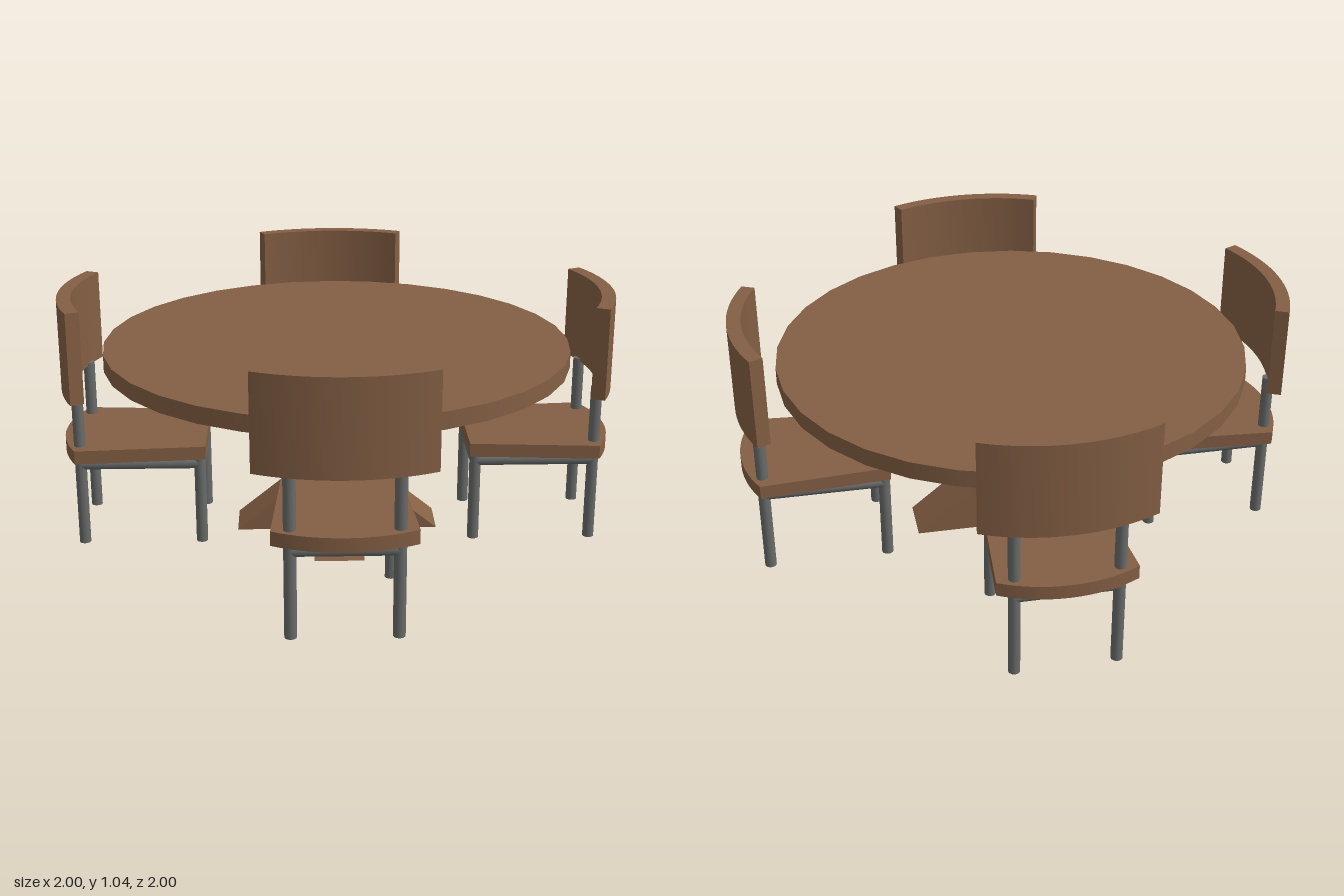
import * as THREE from 'three';
import { toCreasedNormals } from 'three/addons/utils/BufferGeometryUtils.js';

const wood = new THREE.MeshStandardMaterial({ color: 0x845f44 });
wood.name = 'brown wood';
const metal = new THREE.MeshStandardMaterial({ color: 0x696b6b });
metal.name = 'grey metal';

function addMesh(parent, name, geometry, material) {
  const mesh = new THREE.Mesh(geometry, material);
  mesh.name = name;
  parent.add(mesh);
  return mesh;
}

// Horizontal slab from a plan outline (shape x, y become x, z)
function slab(shape, bottom, top) {
  const g = new THREE.ExtrudeGeometry(shape, { depth: top - bottom, bevelEnabled: false, curveSegments: 8 });
  g.rotateX(Math.PI / 2);
  g.translate(0, top, 0);
  return toCreasedNormals(g, 0.5);
}

// Round bar between two points
function addBar(parent, name, a, b, radius = 0.024) {
  const dir = b.clone().sub(a);
  const bar = addMesh(parent, name, new THREE.CylinderGeometry(radius, radius, dir.length(), 12), metal);
  bar.position.copy(a).add(b).multiplyScalar(0.5);
  bar.quaternion.setFromUnitVectors(new THREE.Vector3(0, 1, 0), dir.normalize());
}

// Chair with its back towards local +z, measured from the table centre
function createChair() {
  const chair = new THREE.Group();
  chair.name = 'chair';

  // Seat: tapered to the front, bowed at the back
  const seat = new THREE.Shape();
  const seatR = 0.586, seatC = 0.566;
  const s = Math.asin(0.272 / seatR);
  seat.moveTo(-0.232, 0.55);
  seat.lineTo(0.232, 0.55);
  seat.absarc(0, seatC, seatR, Math.PI / 2 - s, Math.PI / 2 + s, false);
  seat.closePath();
  addMesh(chair, 'seat', slab(seat, 0.378, 0.435), wood);

  // Curved backrest
  const back = new THREE.Shape();
  const mid = Math.PI / 2, half = THREE.MathUtils.degToRad(25);
  back.absarc(0, 0.35, 0.803, mid - half, mid + half, false);
  back.absarc(0, 0.35, 0.745, mid + half, mid - half, true);
  back.closePath();
  addMesh(chair, 'backrest', slab(back, 0.657, 1.04), wood);

  // Legs, the rear pair rising to the backrest
  const x = 0.2015, front = 0.576, rear = 1.071;
  const V = (px, py, pz) => new THREE.Vector3(px, py, pz);
  for (const side of [-x, x]) {
    addBar(chair, 'frontLeg', V(side, 0, front), V(side, 0.378, front));
    addBar(chair, 'rearLeg', V(side, 0, rear), V(side, 0.67, rear));
    addBar(chair, 'sideRail', V(side, 0.353, front), V(side, 0.353, rear));
  }
  // Cross rails under the seat
  for (const z of [front, rear]) {
    addBar(chair, 'crossRail', V(-x, 0.353, z), V(x, 0.353, z));
  }
  return chair;
}

export function createModel() {
  const model = new THREE.Group();
  model.name = 'diningSet';

  // Round table top
  const top = addMesh(model, 'tableTop', new THREE.CylinderGeometry(0.975, 0.975, 0.07, 32), wood);
  top.position.y = 0.785;

  // Pedestal: two crossed slabs with flared foot and head
  const half = [[0.428, 0], [0.18, 0.2], [0.18, 0.62], [0.3, 0.752]];
  const outline = [...half, ...half.map(([x, y]) => [-x, y]).reverse()];
  const profile = new THREE.Shape(outline.map(([x, y]) => new THREE.Vector2(x, y)));
  const slabGeometry = new THREE.ExtrudeGeometry(profile, { depth: 0.205, bevelEnabled: false });
  slabGeometry.translate(0, 0, -0.1025);
  for (const turn of [1, -1]) {
    addMesh(model, 'pedestal', slabGeometry, wood).rotation.y = turn * Math.PI / 4;
  }

  // Four chairs on the diagonals
  for (let i = 0; i < 4; i++) {
    const chair = createChair();
    chair.rotation.y = Math.PI / 4 + i * Math.PI / 2;
    model.add(chair);
  }
  return model;
}
